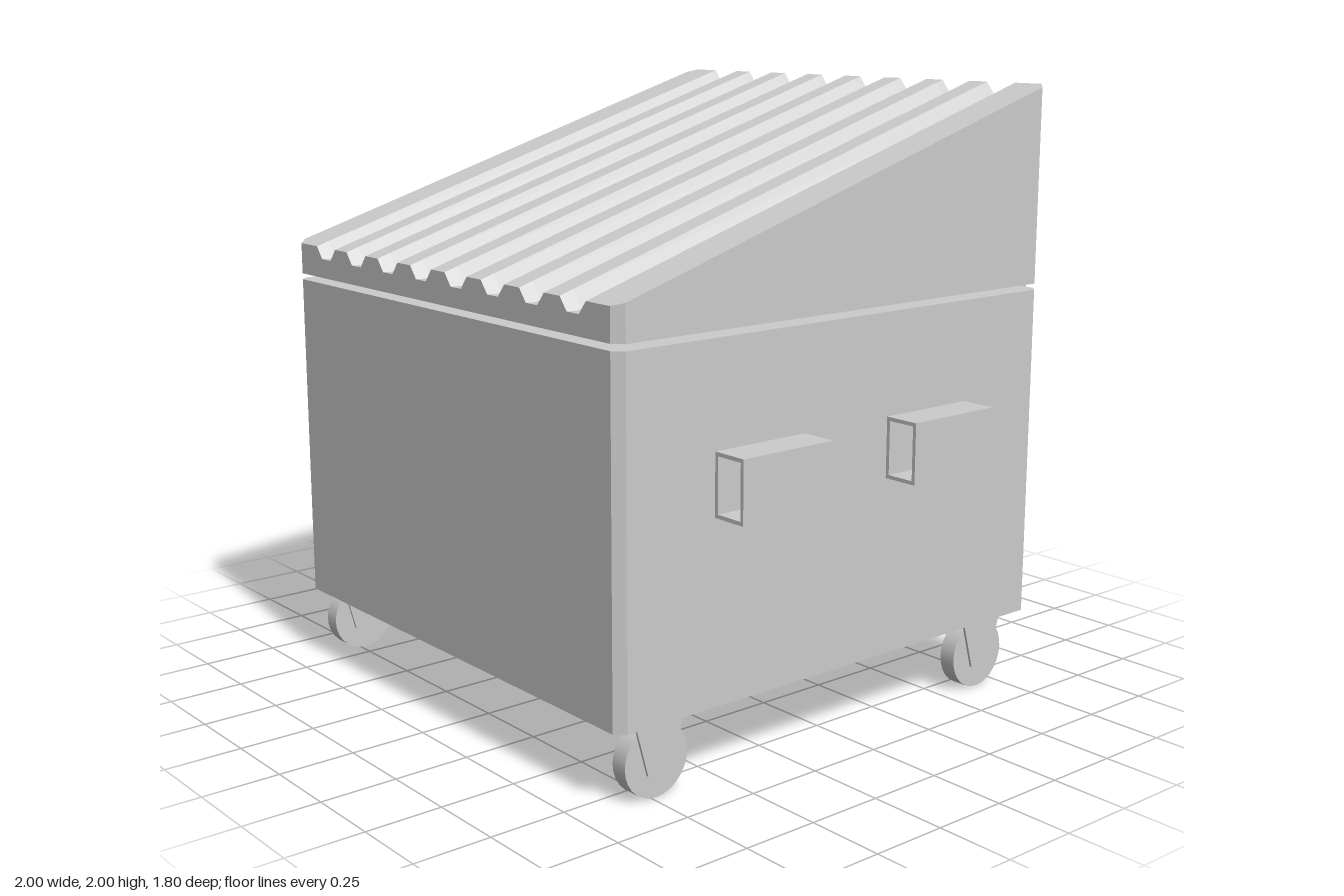
import * as THREE from 'three';

const FRONT = 0.9, BACK = -0.86, HALF = 0.88, BEVEL = 0.03;
const mat = new THREE.MeshStandardMaterial({ color: 0xcccccc, flatShading: true });
const smooth = new THREE.MeshStandardMaterial({ color: 0xcccccc });

function add(parent, name, geometry, material = mat) {
  const mesh = new THREE.Mesh(geometry, material);
  mesh.name = name;
  parent.add(mesh);
  return mesh;
}

function polygon(points) {
  return new THREE.Shape(points.map(([x, y]) => new THREE.Vector2(x, y)));
}

const extrude = (shape, depth) => new THREE.ExtrudeGeometry(shape, { depth, bevelEnabled: false });

// Box with chamfered vertical corners
function bodyGeometry(y0, y1) {
  const i = HALF - BEVEL;
  const g = extrude(polygon([
    [-i, -FRONT], [i, -FRONT], [HALF, -FRONT + BEVEL], [HALF, -BACK - BEVEL],
    [i, -BACK], [-i, -BACK], [-HALF, -BACK - BEVEL], [-HALF, -FRONT + BEVEL],
  ]), y1 - y0);
  g.rotateX(-Math.PI / 2);
  g.translate(0, y0, 0);
  return g;
}

// Sloped lid: corrugated cross-sections joined from front to back
function lidGeometry() {
  const base = 1.357, low = 1.46, high = 2, depth = 0.05, floorMin = 1.42;
  const section = (z, half) => {
    const ridge = low + (high - low) * (FRONT - z) / (FRONT - BACK);
    const drop = Math.min(depth, ridge - floorMin);
    const inner = 0.06 - 0.04 * drop / depth;
    const top = [[-half, ridge]];
    for (let k = 0; k < 8; k++) {
      const c = -0.683 + k * 0.1951;
      top.push([c - 0.06, ridge], [c - inner, ridge - drop], [c + inner, ridge - drop], [c + 0.06, ridge]);
    }
    top.push([half, ridge]);
    return { top: top.map(([x, y]) => [x, y, z]), bottom: top.map(([x]) => [x, base, z]) };
  };
  const s = [
    section(FRONT, HALF - BEVEL), section(FRONT - BEVEL, HALF), section(FRONT - 0.045, HALF),
    section(BACK + BEVEL, HALF), section(BACK, HALF - BEVEL),
  ];
  const pos = [];
  const quad = (a, b, c, d) => pos.push(...a, ...b, ...c, ...a, ...c, ...d);
  const n = s[0].top.length, first = s[0], last = s[s.length - 1];
  for (let i = 0; i < n - 1; i++) {
    for (let j = 0; j < s.length - 1; j++) {
      const f = s[j], b = s[j + 1];
      quad(f.top[i], f.top[i + 1], b.top[i + 1], b.top[i]);
      quad(f.bottom[i + 1], f.bottom[i], b.bottom[i], b.bottom[i + 1]);
    }
    quad(first.bottom[i], first.bottom[i + 1], first.top[i + 1], first.top[i]);
    quad(last.bottom[i + 1], last.bottom[i], last.top[i], last.top[i + 1]);
  }
  for (let j = 0; j < s.length - 1; j++) {
    const f = s[j], b = s[j + 1], e = n - 1;
    quad(f.bottom[e], b.bottom[e], b.top[e], f.top[e]);
    quad(b.bottom[0], f.bottom[0], f.top[0], b.top[0]);
  }
  const g = new THREE.BufferGeometry();
  g.setAttribute('position', new THREE.Float32BufferAttribute(pos, 3));
  g.computeVertexNormals();
  return g;
}

// Open rectangular sleeve running along z
function sleeveGeometry() {
  const w = 0.06, h = 0.0975, t = 0.012;
  const shape = polygon([[-w, -h], [w, -h], [w, h], [-w, h]]);
  shape.holes.push(polygon([[-w + t, -h + t], [-w + t, h - t], [w - t, h - t], [w - t, -h + t]]));
  const g = extrude(shape, 0.35);
  g.translate(0, 0, -0.175);
  return g;
}

// Wheel between two tapered fork plates
function caster(x, z) {
  const group = new THREE.Group();
  group.name = 'caster';
  const wheel = add(group, 'wheel', new THREE.CylinderGeometry(0.116, 0.116, 0.057, 28), smooth);
  wheel.rotation.z = Math.PI / 2;
  wheel.position.y = 0.116;
  const axle = add(group, 'axle', new THREE.CylinderGeometry(0.02, 0.02, 0.08, 12), smooth);
  axle.rotation.z = Math.PI / 2;
  axle.position.y = 0.116;
  const plate = extrude(polygon([[-0.043, 0.08], [0.043, 0.08], [0.088, 0.242], [-0.088, 0.242]]), 0.008);
  plate.translate(0, 0, -0.004);
  plate.rotateY(Math.PI / 2);
  for (const side of [-1, 1]) add(group, 'forkPlate', plate).position.x = side * 0.041;
  group.position.set(x, 0, z);
  return group;
}

export function createModel() {
  const model = new THREE.Group();
  model.name = 'wheeledWasteContainer';

  add(model, 'body', bodyGeometry(0.24, 1.337));
  add(model, 'corrugatedLid', lidGeometry());

  const sleeve = sleeveGeometry();
  const hinge = new THREE.CylinderGeometry(0.049, 0.049, 0.152, 20);
  hinge.rotateZ(Math.PI / 2);
  for (const side of [-1, 1]) {
    // Lifting sleeves on both sides
    for (const z of [0.374, -0.326]) {
      add(model, 'liftSleeve', sleeve).position.set(side * 0.94, 0.9125, z);
    }
    // Hinge barrels along the back
    add(model, 'hinge', hinge, smooth).position.set(side * 0.714, 1.34, -0.851);
  }

  for (const x of [-0.835, 0.811]) {
    for (const z of [0.733, -0.657]) model.add(caster(x, z));
  }
  return model;
}
